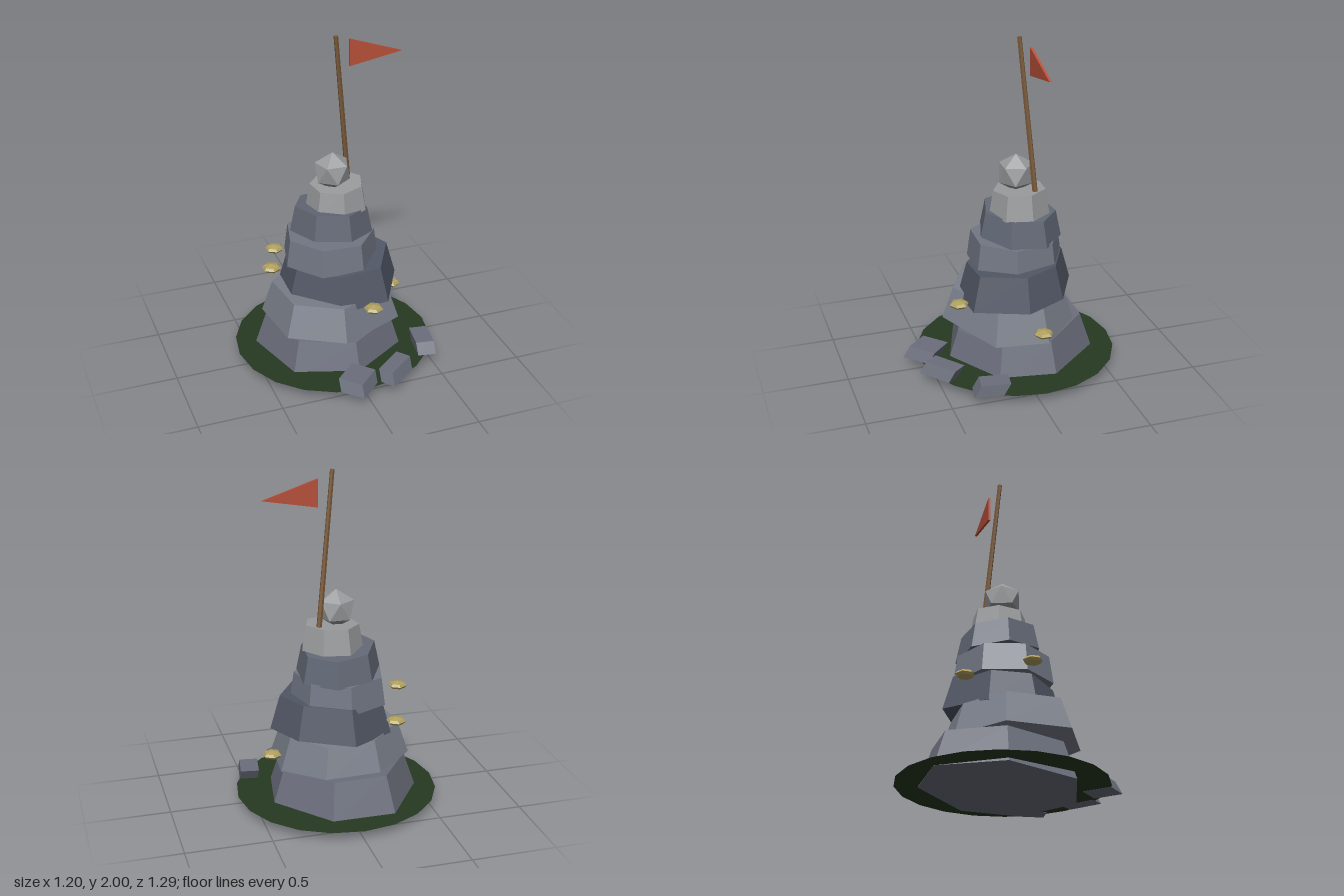
import * as THREE from 'three';

const paint = (color, double) => new THREE.MeshStandardMaterial({
  color, flatShading: true, side: double ? THREE.DoubleSide : THREE.FrontSide,
});

function part(name, geometry, material, x = 0, y = 0, z = 0) {
  const mesh = new THREE.Mesh(geometry, material);
  mesh.name = name;
  mesh.position.set(x, y, z);
  return mesh;
}

// Evenly spaced ring of [x, z] corners
function ring(n, rx, rz, cx, cz, turn) {
  return Array.from({ length: n }, (_, i) => {
    const a = turn + (i / n) * Math.PI * 2;
    return [cx + rx * Math.cos(a), cz + rz * Math.sin(a)];
  });
}

// Tapered rock slab on a corner ring, leaning by slopes along x and z
function slab({ foot, taper, y0, y1, slope }) {
  const n = foot.length;
  const cx = foot.reduce((s, p) => s + p[0], 0) / n;
  const cz = foot.reduce((s, p) => s + p[1], 0) / n;
  const pos = [], index = [];
  for (const [y, k] of [[y0, 1], [y1, taper]]) {
    for (const [x, z] of [...foot, [cx, cz]]) {
      const dx = (x - cx) * k, dz = (z - cz) * k;
      pos.push(cx + dx, y + slope[0] * dx + slope[1] * dz, cz + dz);
    }
  }
  const up = n + 1;
  for (let i = 0; i < n; i++) {
    const j = (i + 1) % n;
    index.push(i, i + up, j, j, i + up, j + up); // side
    index.push(n, i, j, n + up, j + up, i + up); // bottom and top
  }
  const g = new THREE.BufferGeometry();
  g.setAttribute('position', new THREE.Float32BufferAttribute(pos, 3));
  g.setIndex(index);
  const flat = g.toNonIndexed();
  flat.computeVertexNormals();
  return flat;
}

export function createModel() {
  const model = new THREE.Group();
  model.name = 'rockTower';

  // Grass disc
  const disc = new THREE.CircleGeometry(0.6, 20).rotateX(-Math.PI / 2);
  model.add(part('ground', disc, paint(0x263a22, true), 0, 0.06, -0.035));

  // Stacked rock tiers, bottom to top
  const tiers = [
    { color: 0x6b6f7c, taper: 0.84, y0: 0.03, y1: 0.25, slope: [-0.02, -0.06],
      foot: [[0.42, -0.16], [0.37, 0.18], [0.02, 0.4], [-0.36, 0.27],
        [-0.47, -0.14], [-0.23, -0.48], [0.14, -0.48]] },
    { color: 0x7a7f8a, taper: 0.84, y0: 0.265, y1: 0.46, slope: [-0.05, 0.04],
      foot: [[0.36, -0.13], [0.34, 0.19], [-0.07, 0.4], [-0.38, 0.24],
        [-0.42, -0.14], [-0.18, -0.36], [0.15, -0.36]] },
    { color: 0x515765, taper: 0.84, y0: 0.45, y1: 0.655, slope: [0.05, -0.05],
      foot: [[0.39, 0], [0.23, 0.29], [-0.07, 0.3], [-0.31, 0.07],
        [-0.29, -0.2], [-0.02, -0.39], [0.28, -0.24]] },
    { color: 0x727784, taper: 0.92, y0: 0.635, y1: 0.8, slope: [-0.01, 0.01],
      foot: ring(7, 0.29, 0.29, -0.02, -0.04, 0.25) },
    { color: 0x626875, taper: 0.87, y0: 0.81, y1: 0.965, slope: [-0.07, 0.08],
      foot: ring(7, 0.25, 0.25, -0.005, -0.06, 0.5) },
    { color: 0x9a9c9e, taper: 0.86, y0: 0.955, y1: 1.105, slope: [0.04, -0.03],
      foot: ring(7, 0.185, 0.18, 0.03, -0.05, 0.75) },
  ];
  tiers.forEach((t, i) => model.add(part(`rockTier${i + 1}`, slab(t), paint(t.color))));

  // Summit stone, standing on a corner
  const cap = new THREE.IcosahedronGeometry(0.115, 0)
    .rotateZ(-Math.atan(2 / (1 + Math.sqrt(5)))).rotateY(0.3);
  model.add(part('summitStone', cap, paint(0x9a9c9e), 0, 1.19, -0.04));

  // Leaning flag pole
  const foot = new THREE.Vector3(0.128, 1.05, -0.12);
  const tip = new THREE.Vector3(0.025, 2, -0.05);
  const along = tip.clone().sub(foot);
  const pole = part('flagPole', new THREE.CylinderGeometry(0.013, 0.016, along.length(), 6), paint(0x7a5a3a));
  pole.position.copy(foot).lerp(tip, 0.5);
  pole.quaternion.setFromUnitVectors(new THREE.Vector3(0, 1, 0), along.normalize());
  model.add(pole);

  // Pennant
  const pennant = new THREE.Shape([[0.12, 1.8], [0.435, 1.855], [0.12, 1.96]]
    .map(([x, y]) => new THREE.Vector2(x, y)));
  const cloth = new THREE.ExtrudeGeometry(pennant, { depth: 0.014, bevelEnabled: false });
  model.add(part('pennant', cloth, paint(0xb8503a), 0, 0, -0.095));

  // Floating gold gems
  const profile = [[0, -0.026], [0.045, -0.014], [0.057, 0], [0.045, 0.014], [0, 0.026]]
    .map(([x, y]) => new THREE.Vector2(x, y));
  const gem = new THREE.LatheGeometry(profile, 6);
  const gold = paint(0xb0a060);
  [[-0.4, 0.65, 0.015], [-0.275, 0.575, -0.33], [0.115, 0.453, 0.345], [0.4, 0.335, -0.08]]
    .forEach((p, i) => model.add(part(`gem${i + 1}`, gem, gold, ...p)));

  // Loose stones at the front, tops leaning back
  const lean = new THREE.Matrix4().set(1, 0, 0, 0, 0, 1, 0, 0, 0, -0.6, 1, 0, 0, 0, 0, 1);
  [[0.475, 0.26, 0.11, 0.17, -0.15], [0.207, 0.48, 0.21, 0.09, 0.67], [-0.043, 0.515, 0.15, 0.175, -0.81]]
    .forEach(([x, z, w, d, turn], i) => {
      const box = new THREE.BoxGeometry(w, 0.068, d).rotateY(turn).applyMatrix4(lean);
      model.add(part(`looseStone${i + 1}`, box, paint(0x6b6f7c), x, 0.093, z));
    });

  return model;
}
